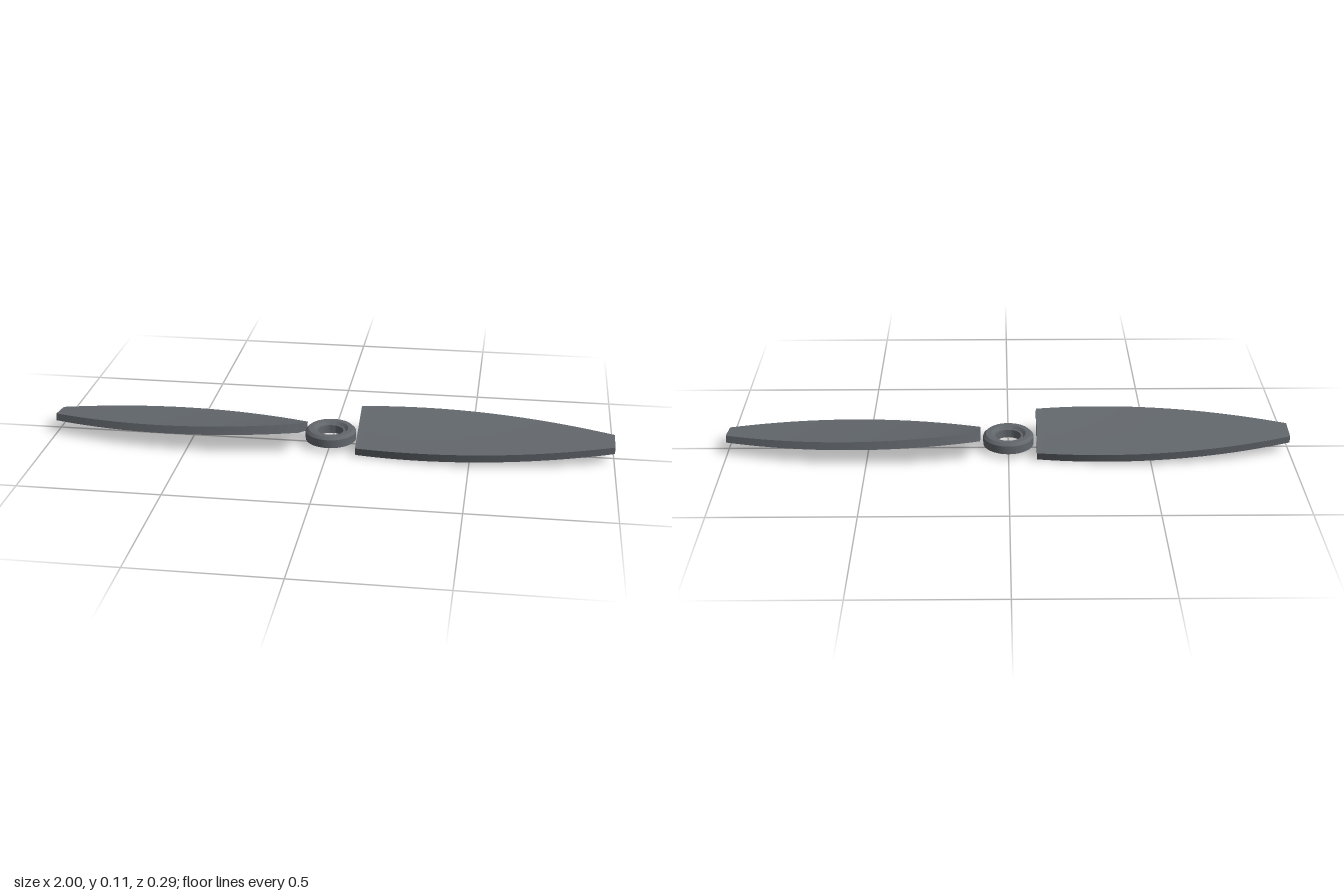
import * as THREE from 'three';
import { toCreasedNormals } from 'three/addons/utils/BufferGeometryUtils.js';

const material = new THREE.MeshStandardMaterial({ color: 0x62676c });
const MID_Y = 0.056, ROOT = 0.1, TIP = 1;

// A box bent into a twisted blade: every section is a thin tilted rectangle.
function bladeGeometry() {
  const geo = new THREE.BoxGeometry(1, 1, 1, 28, 1, 1);
  const pos = geo.attributes.position;
  for (let i = 0; i < pos.count; i++) {
    const f = pos.getX(i) + 0.5;
    const x = THREE.MathUtils.lerp(ROOT, TIP, f);
    const halfWidth = 0.14 - 0.32 * (x - 0.45) ** 2;
    const rise = THREE.MathUtils.lerp(0.039, 0.005, f);
    const angle = Math.atan2(rise, halfWidth);
    const chord = pos.getZ(i) * 2 * Math.hypot(halfWidth, rise);
    const thick = pos.getY(i) * THREE.MathUtils.lerp(0.032, 0.026, f);
    pos.setXYZ(i, x,
      MID_Y - chord * Math.sin(angle) + thick * Math.cos(angle),
      chord * Math.cos(angle) + thick * Math.sin(angle));
  }
  geo.computeVertexNormals();
  return geo;
}

export function createModel() {
  const group = new THREE.Group();
  group.name = 'propeller';

  // Two blades, half a turn apart
  const geo = bladeGeometry();
  ['leftBlade', 'rightBlade'].forEach((name, i) => {
    const blade = new THREE.Mesh(geo, material);
    blade.name = name;
    blade.rotation.y = i * Math.PI;
    group.add(blade);
  });

  // Hub ring with bevelled upper edges
  const profile = [
    [0.045, 0.02], [0.09, 0.02], [0.09, 0.05], [0.08, 0.06],
    [0.062, 0.06], [0.052, 0.05], [0.045, 0.05], [0.045, 0.02],
  ].map(([r, y]) => new THREE.Vector2(r, y));
  const hub = new THREE.Mesh(toCreasedNormals(new THREE.LatheGeometry(profile, 40), 0.5), material);
  hub.name = 'hub';
  group.add(hub);

  return group;
}
